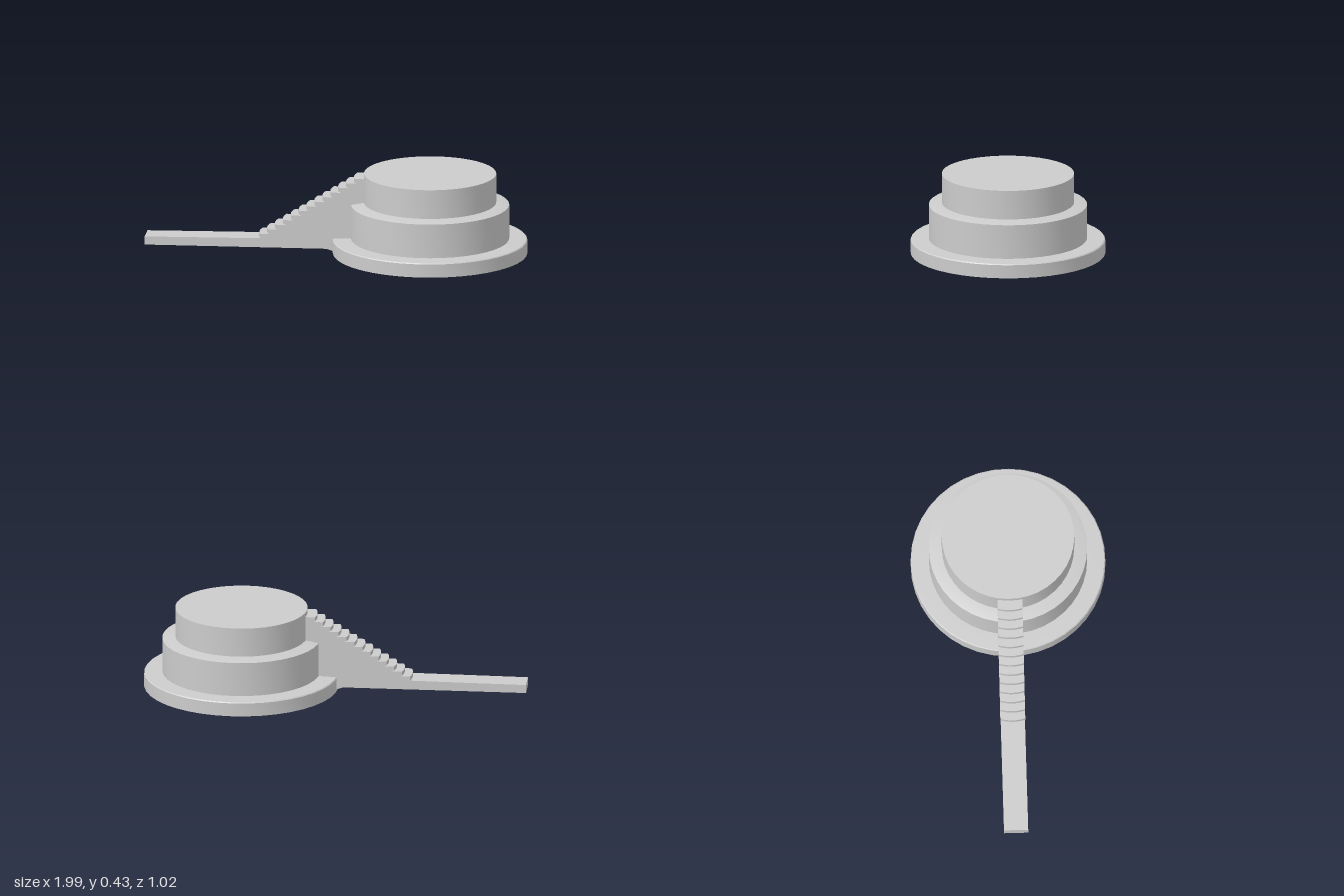
import * as THREE from 'three';
import { toCreasedNormals } from 'three/addons/utils/BufferGeometryUtils.js';

const material = new THREE.MeshStandardMaterial({ color: 0xcccccc });

function add(parent, geometry, name) {
  const mesh = new THREE.Mesh(toCreasedNormals(geometry, 0.4), material);
  mesh.name = name;
  parent.add(mesh);
}

// Closed, turned solid from [radius, height] pairs, bottom to top
function turned(points) {
  return new THREE.LatheGeometry(points.map(([r, y]) => new THREE.Vector2(r, y)), 40);
}

export function createModel() {
  const model = new THREE.Group();
  model.name = 'tieredPlatform';

  // Round tiers
  const tiers = new THREE.Group();
  tiers.name = 'tiers';
  tiers.position.x = 0.485;
  model.add(tiers);
  add(tiers, turned([[0, 0], [0.51, 0], [0.51, 0.071], [0.505, 0.076], [0.415, 0.08], [0, 0.08]]), 'baseTier');
  add(tiers, turned([[0, 0.07], [0.415, 0.07], [0.415, 0.262], [0.35, 0.275], [0, 0.275]]), 'middleTier');
  add(tiers, turned([[0, 0.27], [0.347, 0.27], [0.347, 0.43], [0, 0.43]]), 'topTier');

  // Approach: local x is the distance from the centre of the tiers
  const approach = new THREE.Group();
  approach.name = 'approach';
  approach.position.x = 0.485;
  approach.rotation.y = Math.PI + 0.188;
  model.add(approach);

  const width = 0.127, steps = 13, firstR = 0.9, lastR = 0.4, firstY = 0.09, lastY = 0.405;
  const pitch = (firstR - lastR) / (steps - 1);
  const rise = (lastY - firstY) / (steps - 1);

  // Walkway and solid stair core share one side profile
  const profile = new THREE.Shape();
  profile.moveTo(0.335, 0.008);
  profile.lineTo(0.5, 0.008);
  profile.lineTo(0.54, 0.02);
  profile.lineTo(1.499, 0.012);
  profile.lineTo(1.499, 0.056);
  profile.lineTo(firstR - 0.016, 0.066);
  for (let i = 0; i < steps; i++) {
    const r = firstR - i * pitch - 0.016;
    const top = firstY + i * rise - 0.004;
    profile.lineTo(r, top);
    profile.lineTo(i < steps - 1 ? r - pitch : 0.335, top);
  }
  const core = new THREE.ExtrudeGeometry(profile, { depth: width, bevelEnabled: false });
  core.translate(0, 0, -width / 2);
  add(approach, core, 'walkwayAndStairCore');

  // Treads with bowed, overhanging noses
  for (let i = 0; i < steps; i++) {
    const r = firstR - i * pitch, half = width / 2 + 0.002;
    const back = i < steps - 1 ? r - pitch - 0.018 : 0.335;
    const plan = new THREE.Shape();
    plan.moveTo(back, -half);
    plan.lineTo(r - 0.01, -half);
    plan.quadraticCurveTo(r + 0.01, 0, r - 0.01, half);
    plan.lineTo(back, half);
    const tread = new THREE.ExtrudeGeometry(plan, { depth: 0.022, bevelEnabled: false, curveSegments: 8 });
    tread.rotateX(-Math.PI / 2);
    tread.translate(0, firstY + i * rise - 0.022, 0);
    add(approach, tread, 'tread' + (i + 1));
  }
  return model;
}
